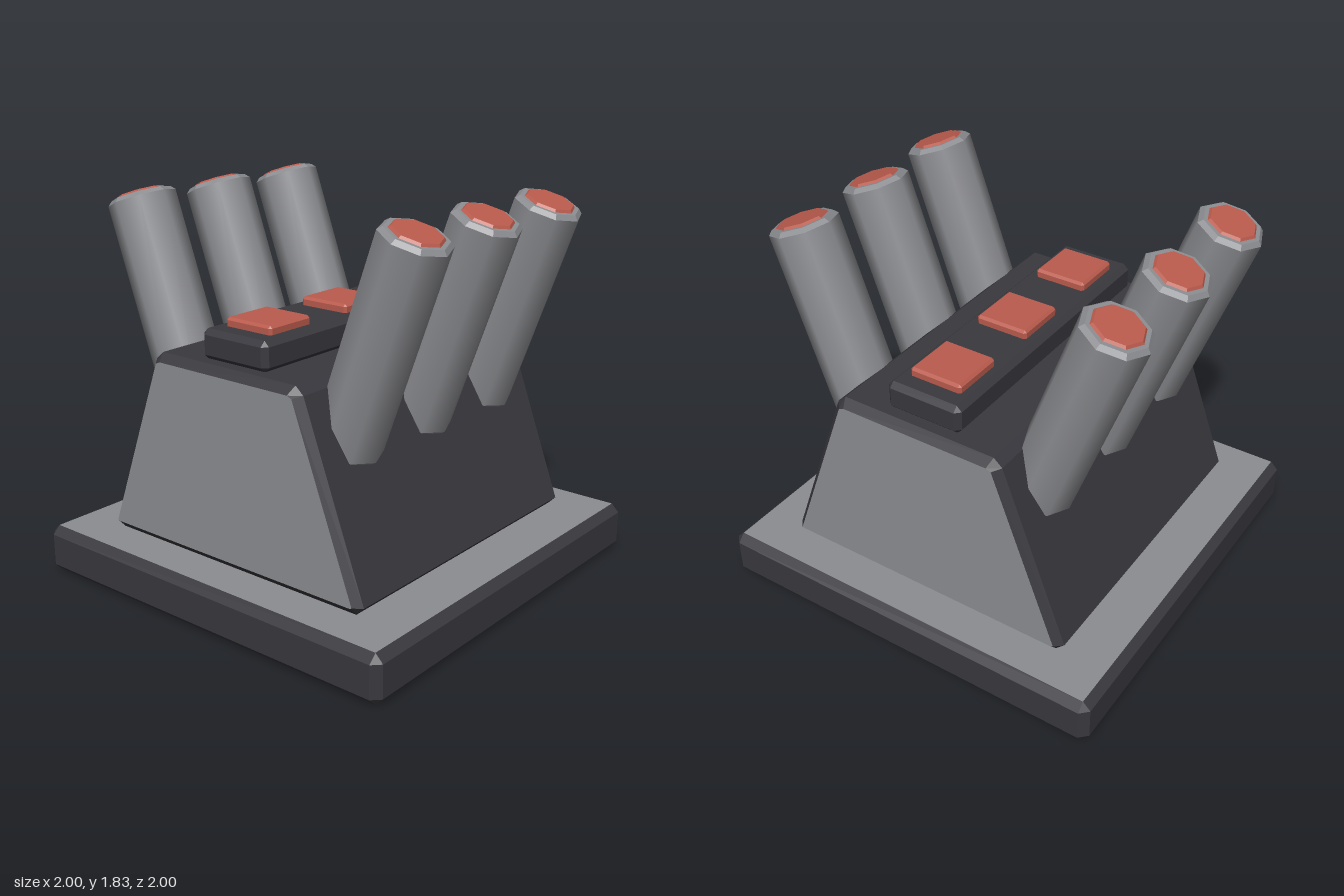
import * as THREE from 'three';

const dark = new THREE.MeshStandardMaterial({ color: 0x38383e });
dark.name = 'darkHousing';
const grey = new THREE.MeshStandardMaterial({ color: 0x8c8d91 });
grey.name = 'greyMetal';
const red = new THREE.MeshStandardMaterial({ color: 0xba5b4d });
red.name = 'redCap';

// Flat-faced loft along z through rings of { z, points }; group 0 = walls, group 1 = end caps.
function loft(rings) {
  const walls = [], caps = [];
  const tri = (out, a, b, c) => {
    if (new THREE.Triangle(a, b, c).getArea() > 1e-7) out.push(a, b, c);
  };
  const R = rings.map(r => r.points.map(([x, y]) => new THREE.Vector3(x, y, r.z)));
  const n = R[0].length, first = R[0], last = R[R.length - 1];
  for (let k = 0; k < R.length - 1; k++) {
    for (let i = 0; i < n; i++) {
      const j = (i + 1) % n;
      tri(walls, R[k][i], R[k][j], R[k + 1][j]);
      tri(walls, R[k][i], R[k + 1][j], R[k + 1][i]);
    }
  }
  for (let i = 1; i < n - 1; i++) {
    tri(caps, last[0], last[i], last[i + 1]);
    tri(caps, first[0], first[i + 1], first[i]);
  }
  const g = new THREE.BufferGeometry().setFromPoints([...walls, ...caps]);
  g.addGroup(0, walls.length, 0);
  g.addGroup(walls.length, caps.length, 1);
  g.computeVertexNormals();
  return g;
}

// Rectangle with cut corners, counter-clockwise.
function cutRect(w, d, c) {
  const x = w / 2, y = d / 2;
  return [[x, -y + c], [x, y - c], [x - c, y], [-x + c, y],
    [-x, y - c], [-x, -y + c], [-x + c, -y], [x - c, -y]];
}

// Box with all edges bevelled by b, standing on y = 0; caps are its top and bottom.
function bevelBox(w, h, d, b) {
  const inner = cutRect(w - 2 * b, d - 2 * b, 0), outer = cutRect(w, d, b);
  return loft([
    { z: 0, points: inner }, { z: b, points: outer },
    { z: h - b, points: outer }, { z: h, points: inner },
  ]).rotateX(-Math.PI / 2);
}

function add(parent, name, geometry, material, x = 0, y = 0, z = 0) {
  const m = new THREE.Mesh(geometry, material);
  m.name = name;
  m.position.set(x, y, z);
  parent.add(m);
  return m;
}

// Right half of a symmetric outline (bottom to top), mirrored into a closed loop.
const mirrored = half => [...half, ...half.map(([x, y]) => [-x, y]).reverse()];

// One launch tube: origin at the centre of its top rim, running down -y.
function makeTube() {
  const tube = new THREE.Group();
  const r = 0.16, rim = 0.14, b = 0.02, len = 1.02;
  add(tube, 'tubeShaft', new THREE.CylinderGeometry(r, r, len - 2 * b, 8, 1, true), grey, 0, -len / 2);
  const flat = (rt, rb, h) => {
    const g = new THREE.CylinderGeometry(rt, rb, h, 8).toNonIndexed();
    g.computeVertexNormals();
    return g;
  };
  add(tube, 'tubeRim', flat(rim, r, b), grey, 0, -b / 2);
  add(tube, 'tubeFoot', flat(r, rim, b), grey, 0, -len + b / 2);
  add(tube, 'tubeCap', flat(0.11, 0.12, 0.011), red, 0, 0.0055);
  return tube;
}

export function createModel() {
  const model = new THREE.Group();
  model.name = 'launcher';

  // Square base plate with grey top and bottom
  add(model, 'basePlate', bevelBox(2, 0.23, 2, 0.038), [dark, grey]);

  // Tapered body with grey end panels
  const outer = mirrored([[0.71, 0.23], [0.75, 0.27], [0.432, 1.118], [0.39, 1.155]]);
  const inner = mirrored([[0.705, 0.27], [0.715, 0.275], [0.4, 1.108], [0.375, 1.118]]);
  add(model, 'body', loft([
    { z: -0.805, points: inner }, { z: -0.767, points: outer },
    { z: 0.767, points: outer }, { z: 0.805, points: inner },
  ]), [dark, grey]);

  // Top console with three buttons
  add(model, 'console', bevelBox(0.38, 0.14, 1.46, 0.025), [dark, dark], 0, 1.15);
  for (const z of [-0.5, 0, 0.5]) {
    add(model, 'button', bevelBox(0.264, 0.055, 0.264, 0.012), [red, red], 0, 1.275, z);
  }

  // Three tubes leaning outward on each side
  for (const side of [1, -1]) {
    for (const z of [-0.5, 0, 0.5]) {
      const tube = makeTube();
      tube.name = side > 0 ? 'leftTube' : 'rightTube';
      tube.position.set(side * 0.79, 1.785, z);
      tube.rotation.z = -side * THREE.MathUtils.degToRad(20);
      model.add(tube);
    }
  }
  return model;
}
